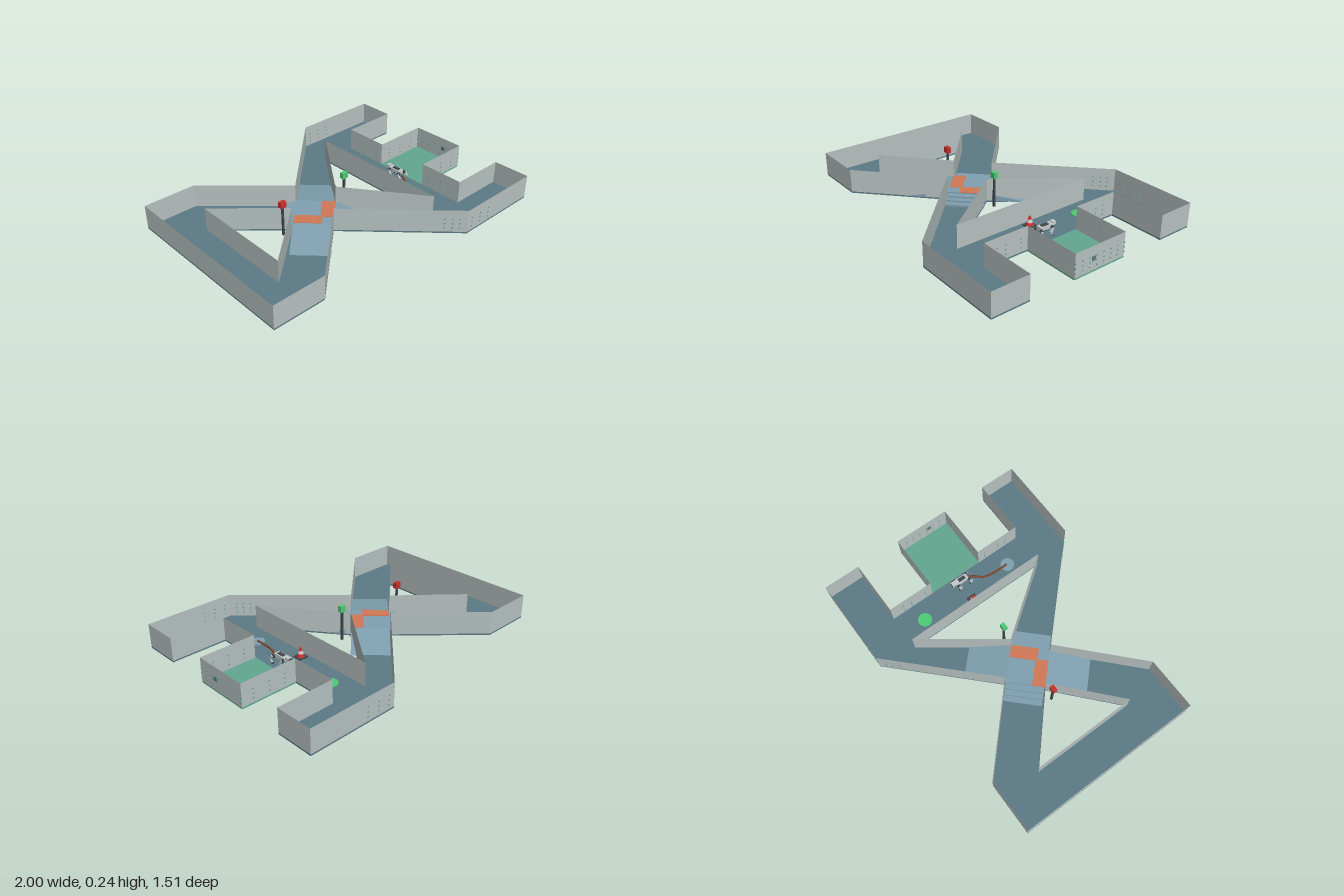
import * as THREE from 'three';

const mat = (name, color, side = THREE.FrontSide) => {
  const m = new THREE.MeshStandardMaterial({ color, side });
  m.name = name;
  return m;
};

export function createModel() {
  const floorBlue = mat('slate floor', 0x5c7a85);
  const wallGrey = mat('grey wall', 0xb6c0c0, THREE.DoubleSide);
  const paleBlue = mat('pale blue', 0x80a0b0);
  const orange = mat('orange', 0xd07855);
  const teal = mat('teal', 0x62a890);
  const green = mat('bright green', 0x4ecb76);
  const red = mat('red', 0xc8322e);
  const dark = mat('dark grey', 0x40484c);
  const silver = mat('silver', 0xc4c9ca);
  const brown = mat('brown', 0x80492e);

  const model = new THREE.Group();
  const add = (name, geometry, material, x = 0, y = 0, z = 0, parent = model) => {
    const m = new THREE.Mesh(geometry, material);
    m.name = name;
    m.position.set(x, y, z);
    parent.add(m);
    return m;
  };
  const box = (w, h, d) => new THREE.BoxGeometry(w, h, d);
  const points = list => list.map(([x, z]) => new THREE.Vector2(x, z));
  const FLOOR = 0.01, TOP = 0.165;

  // Floor plan, listed as [x, z]
  const outline = [
    [-1, -0.62], [-0.65, -0.62], [-0.18, -0.18], [0.4, -0.75], [1, -0.75], [1, -0.5],
    [0.62, -0.5], [0.62, -0.19], [0.62, 0.19], [0.62, 0.5],
    [1, 0.5], [1, 0.75], [0.4, 0.75], [-0.18, 0.18], [-0.65, 0.62], [-1, 0.62]];
  const holes = [
    [[-0.75, -0.35], [-0.36, 0], [-0.75, 0.35]],
    [[0.37, -0.5], [0.37, 0.5], [0, 0]]];
  const room = [[0.62, -0.19], [1, -0.19], [1, 0.19], [0.62, 0.19]];

  const plan = new THREE.Shape(points(outline));
  plan.holes = holes.map(h => new THREE.Path(points(h)));
  const slab = new THREE.ExtrudeGeometry(plan, { depth: FLOOR, bevelEnabled: false });
  slab.rotateX(Math.PI / 2);
  add('trackFloor', slab, floorBlue, 0, FLOOR, 0);
  add('roomFloor', box(0.38, FLOOR, 0.38), teal, 0.81, FLOOR / 2, 0);

  // Thin walls follow every edge except the doorway to the room
  const walls = new THREE.Group();
  walls.name = 'walls';
  model.add(walls);
  const wall = ([ax, az], [bx, bz]) => {
    const len = Math.hypot(bx - ax, bz - az);
    const m = add('wall', new THREE.PlaneGeometry(len, TOP - FLOOR), wallGrey,
      (ax + bx) / 2, (TOP + FLOOR) / 2, (az + bz) / 2, walls);
    m.rotation.y = -Math.atan2(bz - az, bx - ax);
  };
  const isDoor = (a, b) => a[0] === 0.62 && b[0] === 0.62 && Math.abs(a[1]) < 0.2 && Math.abs(b[1]) < 0.2;
  [outline, ...holes, room].forEach(loop => loop.forEach((a, i) => {
    const b = loop[(i + 1) % loop.length];
    if (!isDoor(a, b)) wall(a, b);
  }));

  // Small studs in the walls
  const studs = new THREE.Group();
  studs.name = 'wallStuds';
  model.add(studs);
  const studShape = box(0.007, 0.007, 0.007);
  const studColumn = (x, z) => [0.04, 0.07, 0.1].forEach(y => add('stud', studShape, teal, x, y, z, studs));
  for (let i = 0; i < 8; i++) studColumn(1, -0.187 + i * 0.0534);
  for (const s of [-1, 1]) {
    for (const x of [0.44, 0.52, 0.6]) studColumn(x, s * 0.75);
    for (const x of [0.3, 0.335, 0.365]) studColumn(x, s * (0.18 + (x + 0.18) * 0.983));
    for (const z of [0.24, 0.35, 0.41]) studColumn(0.62, s * z);
    for (const x of [0.7, 0.81, 0.92]) studColumn(x, s * 0.19);
  }
  add('wallPanel', box(0.006, 0.028, 0.028), floorBlue, 1, 0.086, 0.05);

  // Crossing: a ramped bridge over a flight of steps
  const crossing = new THREE.Group();
  crossing.name = 'crossing';
  crossing.position.set(-0.18, 0.009, 0);
  model.add(crossing);
  const profile = (name, pts, width, turn) => {
    const g = new THREE.ExtrudeGeometry(new THREE.Shape(points(pts)), { depth: width, bevelEnabled: false });
    g.translate(0, 0, -width / 2);
    add(name, g, paleBlue, 0, 0, 0, crossing).rotation.y = turn;
  };
  profile('rampBridge', [[-0.4, 0], [0.4, 0], [0.127, 0.046], [-0.127, 0.046]], 0.245, Math.PI / 4);
  [[0.238, 0.014], [0.2, 0.026], [0.163, 0.038]].forEach(([s, h]) =>
    profile('step', [[-s, 0], [s, 0], [s, h], [-s, h]], 0.245, -Math.PI / 4));
  // Orange floor markings meeting in a V
  [-1, 1].forEach((s, i) => {
    const strip = add('marking', box(0.178, 0.003, 0.083), orange, s * 0.085, 0.0475 + i * 0.0004, 0.036, crossing);
    strip.rotation.y = s * Math.PI / 4;
  });

  // Signal posts
  for (const [name, x, m] of [['redSignal', -0.43, red], ['greenSignal', 0.075, green]]) {
    add(name + 'Post', box(0.012, 0.2, 0.012), dark, x, 0.1, 0);
    add(name, box(0.04, 0.04, 0.028), m, x, 0.22, 0);
  }

  // Floor discs
  const disc = new THREE.CylinderGeometry(0.047, 0.047, 0.006, 32);
  add('greenDisc', disc, green, 0.49, FLOOR + 0.003, -0.34);
  add('blueDisc', disc, paleBlue, 0.49, FLOOR + 0.003, 0.335);

  // Traffic cone built from stacked bands
  const cone = new THREE.Group();
  cone.name = 'trafficCone';
  cone.position.set(0.42, FLOOR, 0);
  model.add(cone);
  add('coneBase', box(0.062, 0.008, 0.062), dark, 0, 0.004, 0, cone);
  [[0.026, 0.019, red], [0.019, 0.012, silver], [0.012, 0.005, red]].forEach(([r0, r1, m], i) =>
    add('coneBand', new THREE.CylinderGeometry(r1, r0, 0.02, 20), m, 0, 0.018 + i * 0.02, 0, cone));

  // Four-legged robot
  const robot = new THREE.Group();
  robot.name = 'robot';
  robot.position.set(0.56, FLOOR, 0.005);
  model.add(robot);
  add('body', box(0.04, 0.024, 0.095), silver, 0, 0.06, 0, robot);
  add('backPlate', box(0.024, 0.006, 0.05), dark, 0, 0.074, 0.005, robot);
  add('head', box(0.028, 0.022, 0.026), silver, 0, 0.068, -0.06, robot);
  add('face', box(0.02, 0.012, 0.004), dark, 0, 0.068, -0.074, robot);
  for (const x of [-1, 1]) for (const z of [-0.036, 0.05]) {
    const hip = add('hip', new THREE.CylinderGeometry(0.011, 0.011, 0.014, 12), dark, x * 0.026, 0.055, z, robot);
    hip.rotation.z = Math.PI / 2;
    add('upperLeg', box(0.011, 0.034, 0.013), silver, x * 0.034, 0.043, z + 0.009, robot).rotation.x = -0.6;
    add('lowerLeg', box(0.009, 0.034, 0.009), silver, x * 0.034, 0.018, z + 0.009, robot).rotation.x = 0.6;
    add('foot', new THREE.SphereGeometry(0.007, 10, 8), dark, x * 0.034, 0.007, z, robot);
  }

  // Trailing cord from the robot to the blue disc
  const cord = new THREE.CatmullRomCurve3([
    [0.56, 0.05, 0.06], [0.55, 0.025, 0.1], [0.51, 0.02, 0.15], [0.494, 0.02, 0.22], [0.492, 0.02, 0.33],
  ].map(p => new THREE.Vector3(...p)));
  add('cord', new THREE.TubeGeometry(cord, 32, 0.007, 8), brown);

  return model;
}
